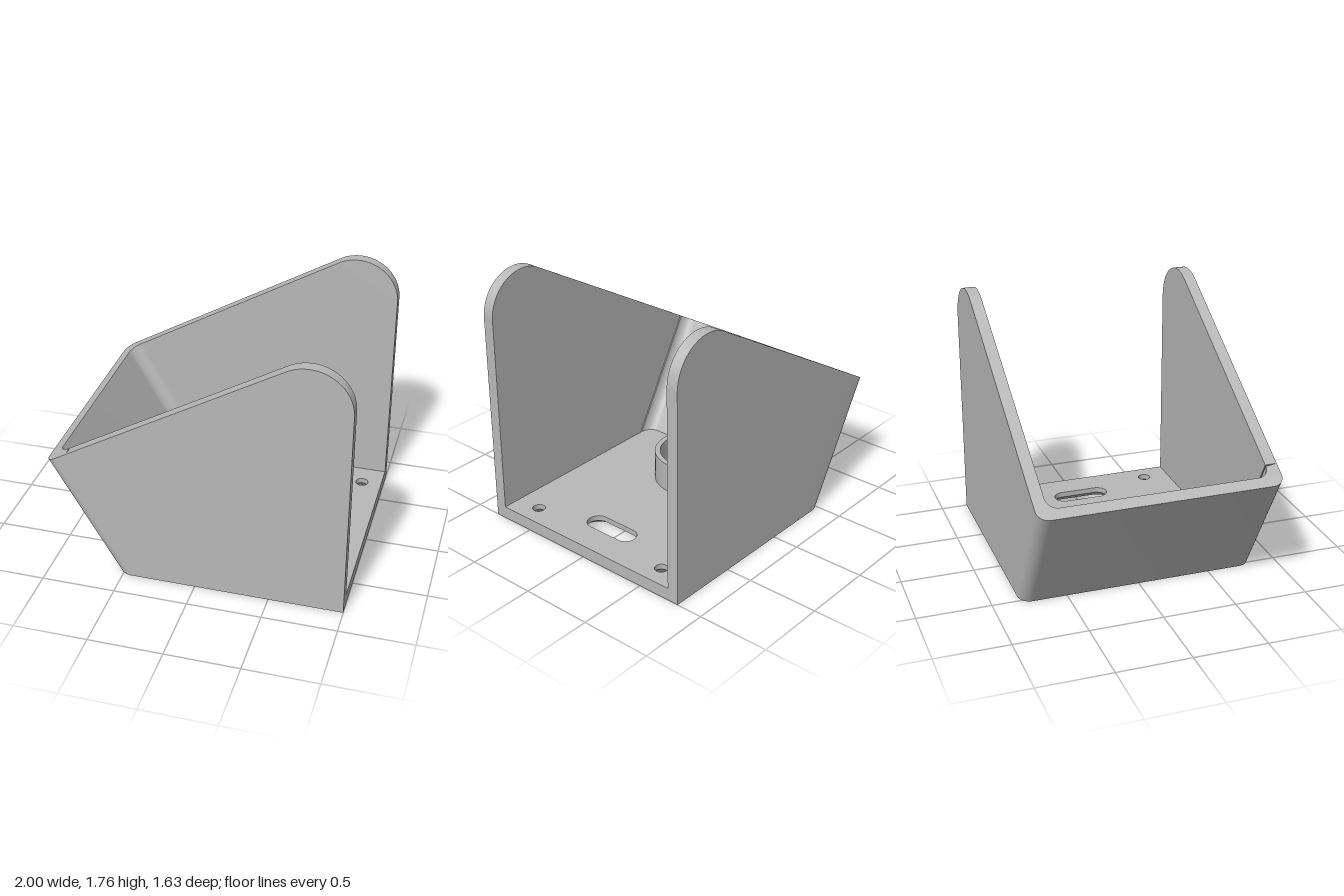
import * as THREE from 'three';
import { toCreasedNormals } from 'three/addons/utils/BufferGeometryUtils.js';

const C = Math.cos(Math.PI / 6), S = 0.5;   // the cradle is tilted by 30 degrees
const HALF = 0.815, WALL = 0.08, FLOOR = 0.088, R = 0.08;
const JOIN = 0.17;                          // where the lip corners meet the side panels
const RECESS = 0.05;                        // depth of the countersinks

// Points on the tilted lip at distance s from its outer face
const foot = (s) => new THREE.Vector2(-0.532 + s / C, 0);
const rim = (s) => new THREE.Vector2(-1 + C * s, 0.81 + S * s);

// Round-ended slot (or circle when half = 0), long axis along z
function slot(x, z, half, r) {
  const p = new THREE.Path();
  p.absarc(x, -z + half, r, 0, Math.PI, false);
  p.absarc(x, -z - half, r, Math.PI, 2 * Math.PI, false);
  p.closePath();
  return p;
}

// Openings: straight radius r, wider radius big at the underside
const openings = [
  { x: 0.725, z: -0.004, half: 0.125, r: 0.075, big: 0.14 },
  { x: 0.86, z: -0.56, half: 0, r: 0.044, big: 0.092 },
  { x: 0.86, z: 0.55, half: 0, r: 0.044, big: 0.092 },
];
for (const x of [-0.25, -0.08])
  for (const z of [-0.132, 0.004, 0.14]) openings.push({ x, z, half: 0, r: 0.044, big: 0.044 });

function floorLayer(y, height, key) {
  const w = HALF - WALL;
  const shape = new THREE.Shape([
    new THREE.Vector2(-0.5, -w), new THREE.Vector2(1, -w),
    new THREE.Vector2(1, w), new THREE.Vector2(-0.5, w),
  ]);
  for (const o of openings) shape.holes.push(slot(o.x, o.z, o.half, o[key]));
  const geo = new THREE.ExtrudeGeometry(shape, { depth: height, bevelEnabled: false, curveSegments: 20 });
  return geo.rotateX(-Math.PI / 2).translate(0, y, 0);
}

// Lower floor layer: upper rims of the openings are drawn in to form countersinks
function countersunkLayer() {
  const geo = floorLayer(0, RECESS, 'big');
  const p = geo.attributes.position;
  for (let i = 0; i < p.count; i++) {
    if (p.getY(i) < RECESS / 2) continue;
    for (const o of openings) {
      const cz = o.z + THREE.MathUtils.clamp(p.getZ(i) - o.z, -o.half, o.half);
      const dx = p.getX(i) - o.x, dz = p.getZ(i) - cz;
      if (Math.hypot(dx, dz) > o.big + 0.002) continue;
      p.setX(i, o.x + dx * o.r / o.big);
      p.setZ(i, cz + dz * o.r / o.big);
      break;
    }
  }
  return geo;
}

// Tilted lip with rounded corners: a U section swept from the ground to the rim
function lipGeometry() {
  const h = HALF, i = HALF - WALL, t = WALL, P = Math.PI;
  const u = new THREE.Shape();
  u.moveTo(JOIN, -i);
  u.absarc(t + R, -i + R, R, 1.5 * P, P, true);
  u.absarc(t + R, i - R, R, P, P / 2, true);
  u.lineTo(JOIN, i);
  u.lineTo(JOIN, h);
  u.absarc(R, h - R, R, P / 2, P, false);
  u.absarc(R, -h + R, R, P, 1.5 * P, false);
  u.lineTo(JOIN, -h);
  u.closePath();
  const geo = new THREE.ExtrudeGeometry(u, { depth: 1, bevelEnabled: false, curveSegments: 12 });
  const p = geo.attributes.position;
  for (let k = 0; k < p.count; k++) {
    const s = p.getX(k);
    const q = p.getZ(k) > 0.5 ? rim(s) : foot(s);
    p.setXYZ(k, q.x, q.y, -p.getY(k));
  }
  return geo;
}

// Side panel with a rounded upper corner
function sideGeometry() {
  const a = foot(JOIN), b = rim(JOIN), r = 0.28;
  const shape = new THREE.Shape();
  shape.moveTo(a.x, a.y);
  shape.lineTo(1, 0);
  shape.absarc(1 - r, 1.48, r, 0, Math.PI * 2 / 3, false);
  shape.lineTo(b.x, b.y);
  shape.closePath();
  return new THREE.ExtrudeGeometry(shape, { depth: WALL, bevelEnabled: false, curveSegments: 32 });
}

// Open collar standing on the floor
function collarGeometry() {
  const pts = [[0.255, FLOOR], [0.292, FLOOR], [0.292, 0.3], [0.255, 0.3], [0.255, FLOOR]];
  return new THREE.LatheGeometry(pts.map(([x, y]) => new THREE.Vector2(x, y)), 64);
}

export function createModel() {
  const group = new THREE.Group();
  const grey = new THREE.MeshStandardMaterial({ color: 0xb8b8b8 });
  grey.name = 'grey';

  const add = (name, geo) => {
    const flat = geo.index ? geo.toNonIndexed() : geo;
    const mesh = new THREE.Mesh(toCreasedNormals(flat, 0.5), grey);
    mesh.name = name;
    group.add(mesh);
    return mesh;
  };

  add('tiltedLip', lipGeometry());
  add('leftOrFrontPanel', sideGeometry()).name = 'frontPanel';
  group.children[1].position.z = HALF - WALL;
  add('backPanel', sideGeometry()).position.z = -HALF;
  add('floorUnderside', countersunkLayer());
  add('floorTop', floorLayer(RECESS, FLOOR - RECESS, 'r'));
  add('collar', collarGeometry()).position.set(-0.167, 0, 0.006);
  return group;
}
